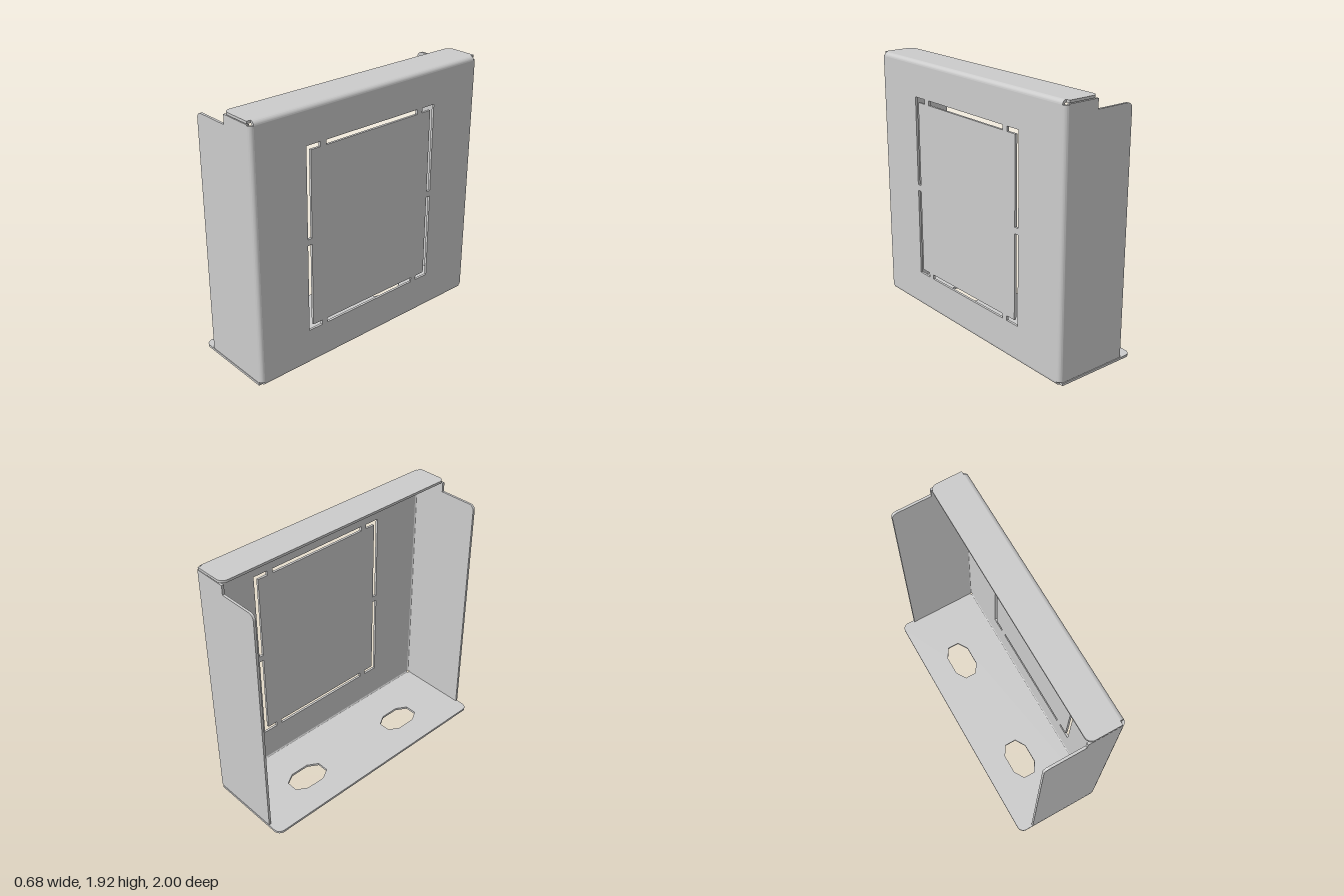
import * as THREE from 'three';
import { toCreasedNormals } from 'three/addons/utils/BufferGeometryUtils.js';

const T = 0.018;              // sheet thickness
const R = 0.03;               // outer bend radius
const H = 1.92, X = 0.335;    // overall height, outer face of the panel
const XB = X - R, ZB = 1 - R; // where the bends begin

const material = new THREE.MeshStandardMaterial({ color: 0xcccccc });

const polygon = (points, Type = THREE.Shape) => new Type(points.map(([x, y]) => new THREE.Vector2(x, y)));

function extrude(name, shape, depth) {
  const flat = new THREE.ExtrudeGeometry(shape, { depth, bevelEnabled: false, curveSegments: 8 });
  const mesh = new THREE.Mesh(toCreasedNormals(flat, 0.6), material);
  mesh.name = name;
  return mesh;
}

// Flange outline from the bend line out to x0, with two rounded free corners
function flangeShape(x0, r) {
  const s = new THREE.Shape();
  s.moveTo(XB, -1);
  s.lineTo(XB, 1);
  s.lineTo(x0 + r, 1);
  s.absarc(x0 + r, 1 - r, r, Math.PI / 2, Math.PI, false);
  s.lineTo(x0, -1 + r);
  s.absarc(x0 + r, -1 + r, r, Math.PI, Math.PI * 1.5, false);
  s.closePath();
  return s;
}

// Quarter ring: cross-section of a bend, turning up (dir 1) or down (dir -1)
function bendShape(cx, cy, dir) {
  const s = new THREE.Shape();
  s.absarc(cx, cy, R, 0, dir * Math.PI / 2, dir < 0);
  s.absarc(cx, cy, R - T, dir * Math.PI / 2, 0, dir > 0);
  s.closePath();
  return s;
}

export function createModel() {
  const model = new THREE.Group();

  // Main panel with the slots of the knockout
  const face = polygon([[-ZB, R], [ZB, R], [ZB, H - R], [-ZB, H - R]]);
  const midY = 0.965, outZ = 0.575, inZ = 0.54, outY = 0.69, inY = 0.655;
  for (const v of [-1, 1]) {
    const slot = [[-0.412, inY], [0.412, inY], [0.412, outY], [-0.412, outY]];
    face.holes.push(polygon(slot.map(([z, y]) => [z, midY + v * y]), THREE.Path));
    for (const h of [-1, 1]) {
      const corner = [[outZ, 0.023], [outZ, outY], [0.46, outY], [0.46, inY], [inZ, inY], [inZ, 0.023]];
      face.holes.push(polygon(corner.map(([z, y]) => [h * z, midY + v * y]), THREE.Path));
    }
  }
  const panel = extrude('frontPanel', face, T);
  panel.rotation.y = Math.PI / 2;
  panel.position.x = X - T;
  model.add(panel);

  // Base flange with two octagonal mounting holes
  const baseShape = flangeShape(-0.34, 0.05);
  for (const h of [-1, 1]) {
    const octagon = [[-0.045, -0.152], [0.045, -0.152], [0.093, -0.073], [0.093, 0.073],
      [0.045, 0.152], [-0.045, 0.152], [-0.093, 0.073], [-0.093, -0.073]];
    baseShape.holes.push(polygon(octagon.map(([x, z]) => [x - 0.051, z + h * 0.482]), THREE.Path));
  }
  const base = extrude('baseFlange', baseShape, T);
  base.rotation.x = -Math.PI / 2;
  model.add(base);

  // Top flange
  const top = extrude('topFlange', flangeShape(0.065, 0.05), T);
  top.rotation.x = -Math.PI / 2;
  top.position.y = H - T;
  model.add(top);

  // Bends joining the panel to the top and base flanges
  for (const [name, y, dir] of [['topBend', H - R, 1], ['baseBend', R, -1]]) {
    const bend = extrude(name, bendShape(XB, y, dir), 2 * ZB);
    bend.position.z = -ZB;
    model.add(bend);
  }

  // Side flanges, stepped at the top, and their bends
  const side = new THREE.Shape();
  const low = 0.023, step = 1.828, high = H - T - 0.005, r = 0.04;
  side.moveTo(-0.233, low);
  side.lineTo(XB, low);
  side.lineTo(XB, high);
  side.lineTo(0.065, high);
  side.lineTo(0.065, step);
  side.lineTo(-0.233 + r, step);
  side.absarc(-0.233 + r, step - r, r, Math.PI / 2, Math.PI, false);
  side.closePath();
  for (const [hand, h] of [['left', 1], ['right', -1]]) {
    const flange = extrude(hand + 'SideFlange', side, T);
    flange.position.z = h > 0 ? 1 - T : -1;
    const bend = extrude(hand + 'SideBend', bendShape(XB, -h * ZB, -h), H - 2 * R);
    bend.rotation.x = -Math.PI / 2;
    bend.position.y = R;
    model.add(flange, bend);
  }
  return model;
}
